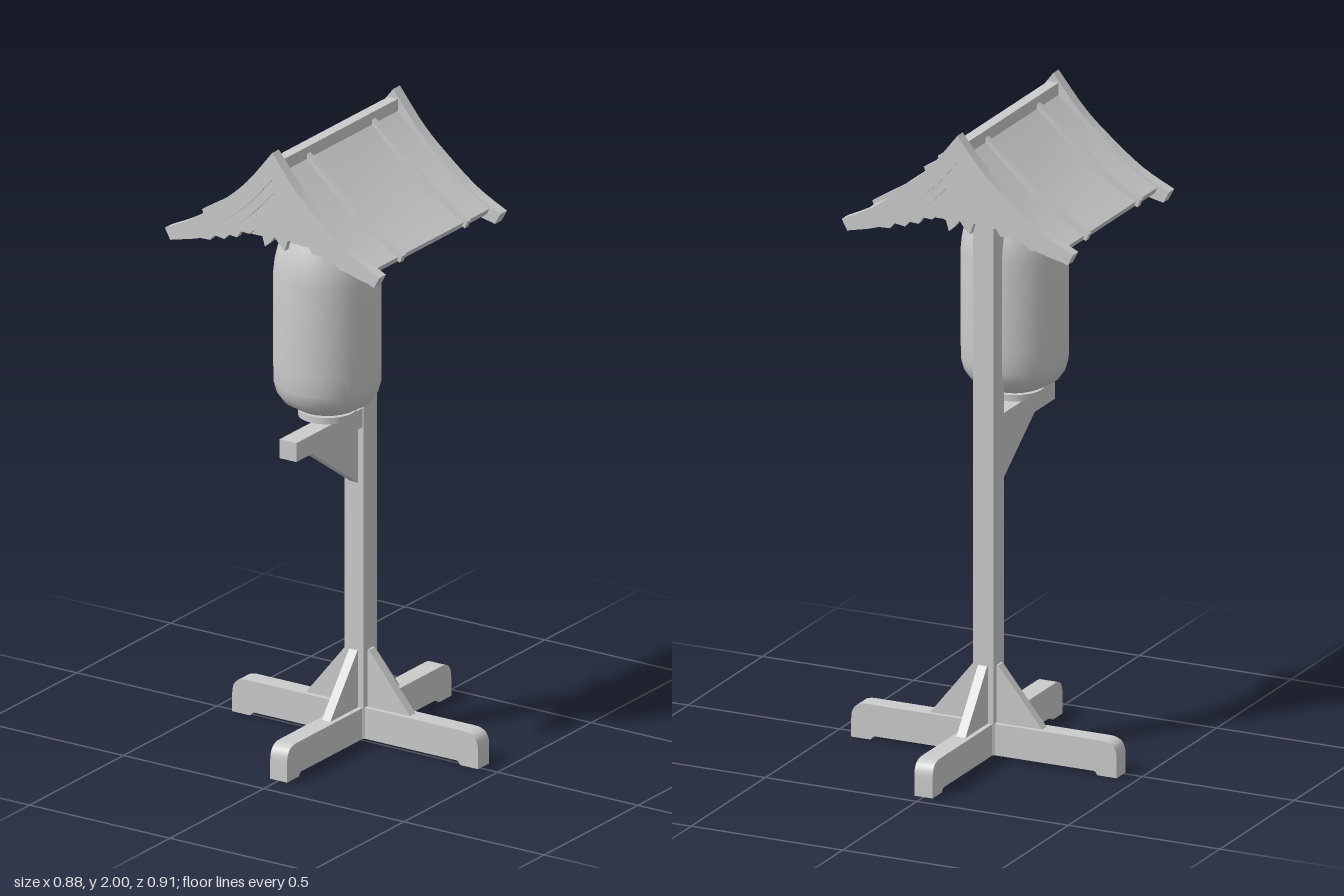
import * as THREE from 'three';
import { toCreasedNormals } from 'three/addons/utils/BufferGeometryUtils.js';

const material = new THREE.MeshStandardMaterial({ color: 0xcccccc, side: THREE.DoubleSide });
const POST_Z = -0.018, LAMP_Z = 0.16;

export function createModel() {
  const model = new THREE.Group();

  const add = (name, geometry, parent = model) => {
    const mesh = new THREE.Mesh(geometry, material);
    mesh.name = name;
    parent.add(mesh);
    return mesh;
  };
  // Box given by its min and max corners
  const box = (name, [x0, y0, z0], [x1, y1, z1], parent) => {
    const m = add(name, new THREE.BoxGeometry(x1 - x0, y1 - y0, z1 - z0), parent);
    m.position.set((x0 + x1) / 2, (y0 + y1) / 2, (z0 + z1) / 2);
    return m;
  };
  // Outline in x,y extruded from z0 to z1
  const plate = (outline, z0, z1) => {
    const shape = outline instanceof THREE.Shape ? outline
      : new THREE.Shape(outline.map(([x, y]) => new THREE.Vector2(x, y)));
    const g = new THREE.ExtrudeGeometry(shape, { depth: z1 - z0, bevelEnabled: false, curveSegments: 8 });
    return toCreasedNormals(g.translate(0, 0, z0), 0.5);
  };
  const smooth = (pts) => new THREE.SplineCurve(pts.map(([x, y]) => new THREE.Vector2(x, y)))
    .getPoints(16).map((p) => [p.x, p.y]);
  const mirror = (pts) => pts.map(([x, y]) => [-x, y]);
  // Symmetric chevron between an upper and a lower half-profile
  const chevron = (top, low) => [
    ...mirror(top).reverse(), ...top.slice(1), ...[...low].reverse(), ...mirror(low).slice(1)];

  // Crossed feet: four legs, each with a triangular brace
  const leg = new THREE.Shape();
  leg.moveTo(0, 0.012);
  leg.lineTo(0.365, 0.012);
  leg.lineTo(0.375, 0);
  leg.lineTo(0.438, 0);
  leg.lineTo(0.438, 0.06);
  leg.quadraticCurveTo(0.438, 0.11, 0.388, 0.11);
  leg.lineTo(0, 0.11);
  const brace = [[0.03, 0.11], [0.185, 0.11], [0.04, 0.29], [0.03, 0.29]];
  for (let i = 0; i < 4; i++) {
    const foot = new THREE.Group();
    foot.name = 'foot';
    foot.position.z = POST_Z;
    foot.rotation.y = i * Math.PI / 2;
    add('leg', plate(leg, -0.03, 0.03), foot);
    add('legBrace', plate(brace, -0.015, 0.015), foot);
    model.add(foot);
  }

  // Post and the lantern arm with its brace
  box('post', [-0.034, 0.012, -0.053], [0.034, 1.86, 0.018]);
  box('arm', [-0.03, 1.0, 0.016], [0.03, 1.06, 0.37]);
  add('armBrace', plate([[0.016, 0.82], [0.28, 1.0], [0.016, 1.0]], -0.015, 0.015).rotateY(-Math.PI / 2));

  // Lantern: smooth paper body between two turned caps
  const lathe = (name, pts) => {
    const g = new THREE.LatheGeometry(pts.map(([r, y]) => new THREE.Vector2(r, y)), 48);
    add(name, toCreasedNormals(g, 0.6)).position.z = LAMP_Z;
  };
  lathe('lanternBody', [[0.07, 1.1], [0.09, 1.108], [0.135, 1.135], [0.152, 1.16], [0.16, 1.19], [0.161, 1.25],
    [0.161, 1.53], [0.157, 1.57], [0.148, 1.61], [0.136, 1.645], [0.125, 1.67]]);
  lathe('lanternBottomCap', [[0, 1.08], [0.087, 1.08], [0.087, 1.1], [0.07, 1.1], [0.07, 1.115], [0, 1.115]]);
  lathe('lanternTopCap', [[0.125, 1.665], [0.125, 1.695], [0, 1.695]]);

  // Open square frame around the lantern top, with a ceiling board above
  const ring = new THREE.Shape([[-0.16, -0.33], [0.16, -0.33], [0.16, 0.065], [-0.16, 0.065]]
    .map(([x, y]) => new THREE.Vector2(x, y)));
  ring.holes.push(new THREE.Path([[-0.135, -0.305], [-0.135, 0.04], [0.135, 0.04], [0.135, -0.305]]
    .map(([x, y]) => new THREE.Vector2(x, y))));
  add('lanternFrame', plate(ring, 0, 0.027).rotateX(-Math.PI / 2).translate(0, 1.672, 0));
  box('ceiling', [-0.15, 1.697, -0.06], [0.15, 1.707, 0.325]);

  // Roof: folded sheet, ridge beam and raised battens
  const roof = new THREE.Group();
  roof.name = 'roof';
  model.add(roof);
  add('roofSheet', plate(chevron(
    [[0, 1.95], [0.18, 1.78], [0.343, 1.692]],
    [[0, 1.925], [0.174, 1.76], [0.335, 1.674]]), -0.19, 0.42), roof);
  box('ridgeBeam', [-0.017, 1.92, -0.19], [0.017, 1.972, 0.42], roof);
  const battenTop = [[0, 1.965], [0.08, 1.895], [0.15, 1.838], [0.185, 1.812], [0.23, 1.775], [0.357, 1.697]];
  const battenLow = [[0, 1.93], [0.174, 1.765], [0.348, 1.675]];
  for (const z of [-0.062, 0.285]) {
    add('batten', plate(chevron(battenTop, battenLow), z - 0.01, z + 0.01), roof);
  }

  // Gable ends: curved bargeboard, inner moulding and scalloped panel
  const top = smooth([[0, 2], [0.09, 1.89], [0.18, 1.81], [0.28, 1.735], [0.382, 1.683]]);
  const mid = smooth([[0, 1.915], [0.085, 1.82], [0.17, 1.75], [0.265, 1.69], [0.363, 1.648]]);
  const low = smooth([[0, 1.87], [0.08, 1.785], [0.16, 1.722], [0.23, 1.685], [0.3, 1.662]]);
  const scallop = [[0, 1.73], [0.015, 1.71], [0.035, 1.692], [0.045, 1.725], [0.075, 1.735], [0.09, 1.72],
    [0.12, 1.722], [0.135, 1.7], [0.165, 1.702], [0.18, 1.685], [0.215, 1.69], [0.23, 1.672], [0.28, 1.67]];
  const panelTop = [[0, 1.92], [0.17, 1.755], [0.28, 1.69]];
  for (const [face, dir] of [[0.455, -1], [-0.227, 1]]) {
    const slab = (name, outline, a, b) => {
      const z = [face + dir * a, face + dir * b].sort((p, q) => p - q);
      add(name, plate(outline, z[0], z[1]), roof);
    };
    slab('bargeboard', chevron(top, mid), 0, 0.036);
    slab('bargeMoulding', chevron(mid, low), 0.006, 0.036);
    slab('gablePanel', chevron(panelTop, scallop), 0.014, 0.034);
  }
  return model;
}
